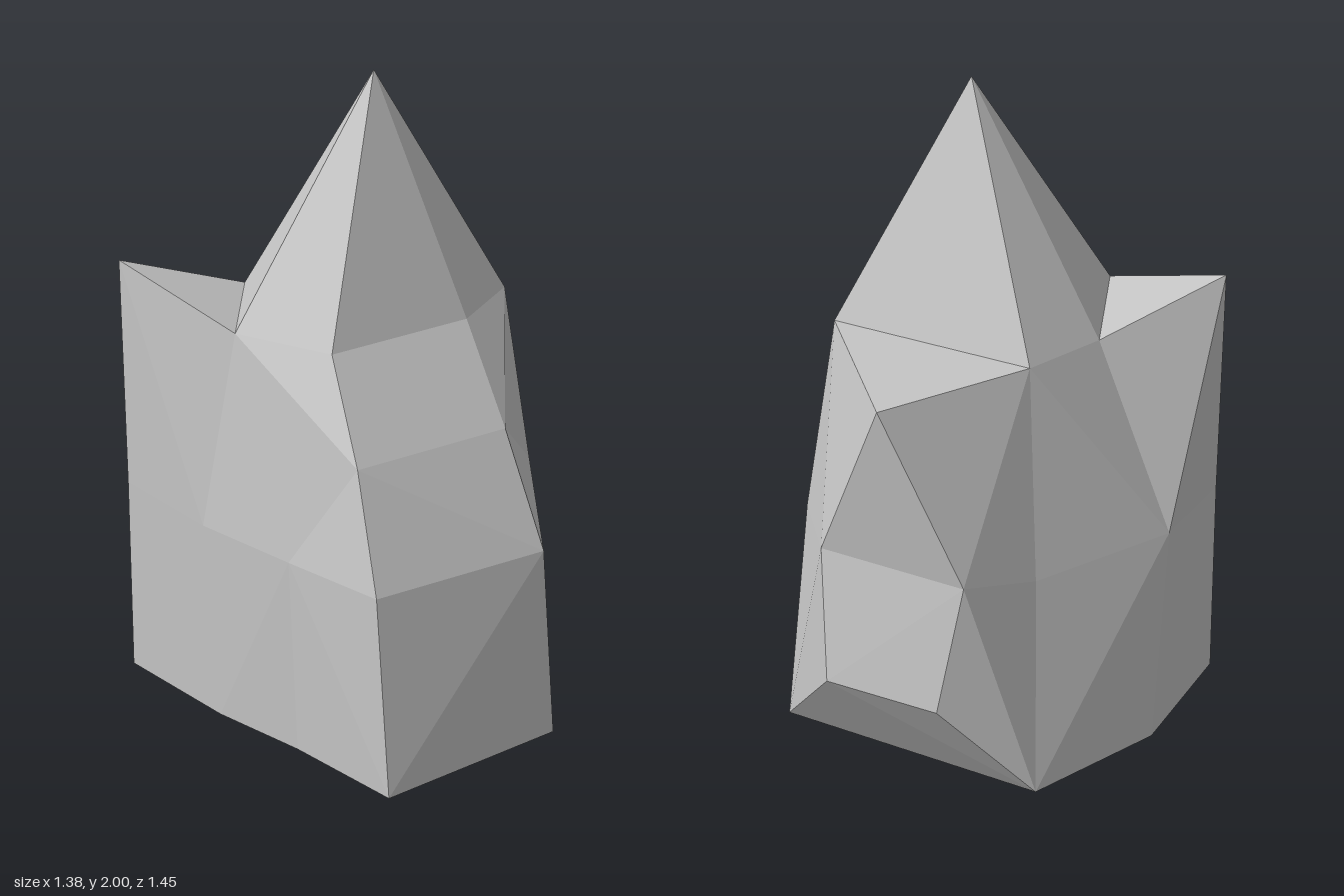
import * as THREE from 'three';

const v = (x, y, z) => new THREE.Vector3(x, y, z);

// Cross-sections with ten spokes, running from front left round the back to the front
const base = [
  v(0.36, 0.01, 0.72), v(0.69, 0.01, 0.2), v(0.36, 0, -0.54), v(0.1, 0.31, -0.725), v(-0.27, 0.31, -0.715),
  v(-0.51, 0, -0.54), v(-0.69, 0, -0.11), v(-0.685, 0, 0.345), v(-0.3, 0, 0.5), v(0, 0, 0.58),
];
const middle = [
  v(0.29, 0.64, 0.65), v(0.64, 0.64, 0.2), v(0.4, 0.64, -0.335), v(0.16, 0.71, -0.64), v(-0.32, 0.71, -0.64),
  v(-0.43, 0.64, -0.4), v(-0.67, 0.66, 0.01), v(-0.68, 0.66, 0.335), v(-0.36, 0.64, 0.46), v(-0.03, 0.64, 0.56),
];
const backPoint = v(-0.07, 1.245, -0.69);
const sidePoint = v(-0.69, 1.4, 0.31);
const frontCorner = v(-0.27, 1.27, 0.39);
const crown = [
  v(0.04, 1.26, 0.39), v(0.31, 1.26, 0.01), v(0.33, 1.255, -0.26), backPoint, backPoint,
  v(-0.33, 1.255, -0.26), v(-0.42, 1.25, 0.01), sidePoint, frontCorner, frontCorner,
];
const shoulder = [v(0.18, 0.98, 0.53), v(0.48, 0.98, 0.12)];
const apex = v(0.01, 2, 0.01);

// Collects triangles; corners run anticlockwise seen from outside
function facets() {
  const points = [];
  const tri = (a, b, c) => {
    if (a !== b && b !== c && c !== a) points.push(a, b, c);
  };
  const fan = (...p) => {
    for (let i = 1; i < p.length - 1; i++) tri(p[0], p[i], p[i + 1]);
  };
  // Splits a four-cornered face along its outward ridge
  const quad = (a, b, c, d) => {
    const n = b.clone().sub(a).cross(c.clone().sub(a));
    if (n.dot(d.clone().sub(a)) > 0) fan(b, c, d, a);
    else fan(a, b, c, d);
  };
  const band = (low, high, i) => {
    const j = (i + 1) % low.length;
    quad(low[i], low[j], high[j], high[i]);
  };
  const mesh = (name, material) => {
    const geometry = new THREE.BufferGeometry().setFromPoints(points);
    geometry.computeVertexNormals();
    const m = new THREE.Mesh(geometry, material);
    m.name = name;
    return m;
  };
  return { tri, fan, quad, band, mesh };
}

export function createModel() {
  const stone = new THREE.MeshStandardMaterial({ color: 0xc4c4c4, flatShading: true });
  stone.name = 'stone grey';
  const group = new THREE.Group();
  group.name = 'rock';

  // Lower walls
  const lower = facets();
  for (let i = 0; i < base.length; i++) lower.band(base, middle, i);
  group.add(lower.mesh('lowerWalls', stone));

  // Upper walls, with a bulging shoulder at the front left
  const upper = facets();
  for (let i = 2; i < 9; i++) upper.band(middle, crown, i);
  upper.quad(middle[0], middle[1], shoulder[1], shoulder[0]);
  upper.quad(shoulder[0], shoulder[1], crown[1], crown[0]);
  upper.fan(shoulder[1], middle[1], middle[2], crown[2], crown[1]);
  upper.fan(shoulder[0], crown[0], frontCorner, middle[9], middle[0]);
  group.add(upper.mesh('upperWalls', stone));

  // Peak
  const peak = facets();
  const rim = [0, 1, 2, 5, 6, 8].map((i) => crown[i]);
  rim.forEach((p, i) => peak.tri(p, rim[(i + 1) % rim.length], apex));
  group.add(peak.mesh('peak', stone));

  // Ledges behind the two side points
  const ledges = facets();
  ledges.tri(crown[2], backPoint, crown[5]);
  ledges.tri(crown[6], sidePoint, frontCorner);
  group.add(ledges.mesh('ledges', stone));

  // Underside and the undercut at the back
  const under = facets();
  under.quad(base[5], base[4], base[3], base[2]);
  const floor = [9, 8, 7, 6, 5, 2, 1, 0].map((i) => base[i]);
  const centre = v(0, 0, 0);
  floor.forEach((p, i) => under.tri(p, floor[(i + 1) % floor.length], centre));
  group.add(under.mesh('underside', stone));

  return group;
}
